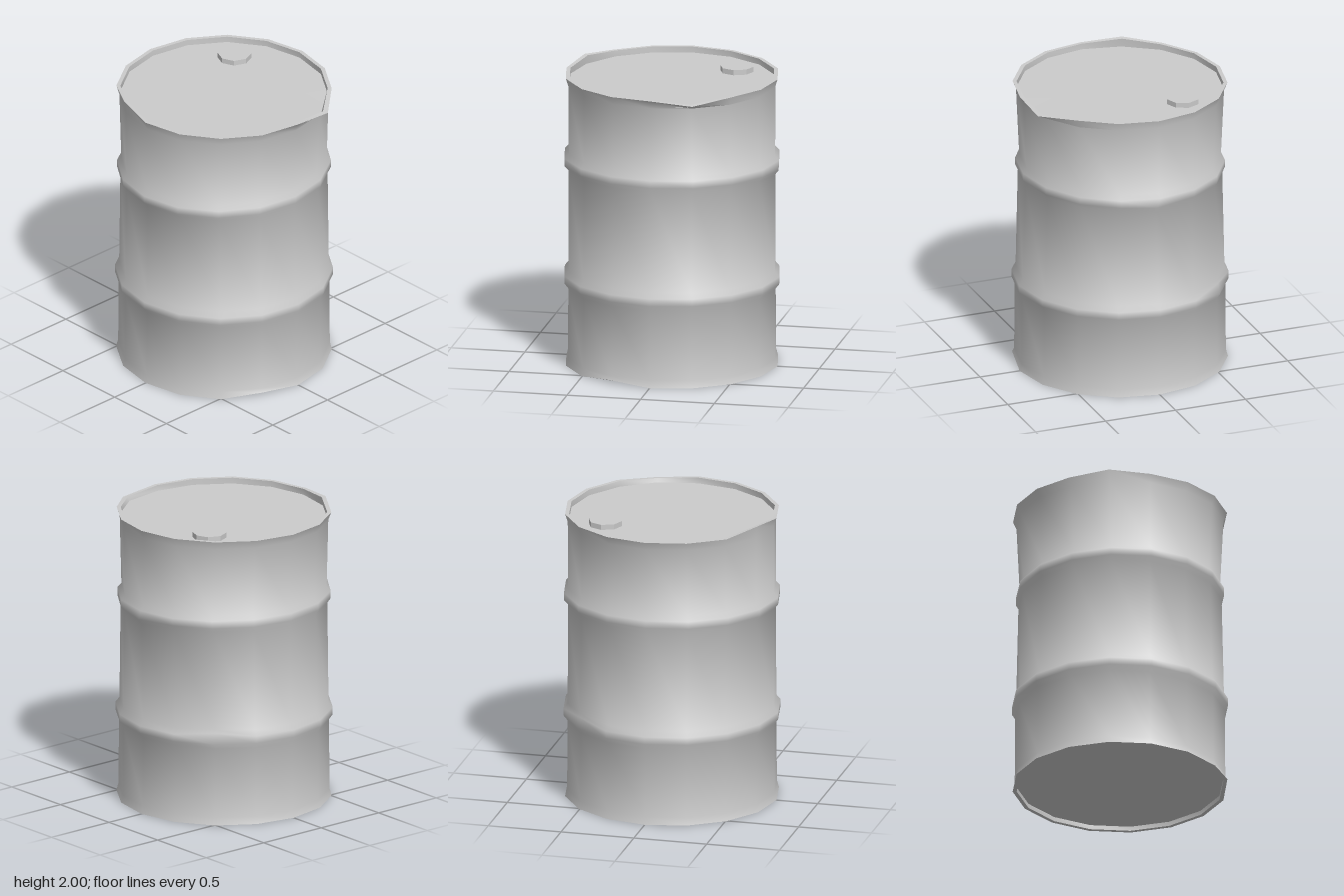
import * as THREE from 'three';
import { toCreasedNormals } from 'three/addons/utils/BufferGeometryUtils.js';

const SIDES = 16;

// Profile rows from the base centre, up the wall, to the lid centre: [radius, height, squash in z]
const PROFILE = [
  [0, 0.03, 1], [0.69, 0.03, 1], [0.69, 0, 1], [0.717, 0, 1], [0.703, 0.05, 1],
  [0.7, 0.53, 1], [0.728, 0.565, 0.99], [0.728, 0.615, 0.99], [0.7, 0.65, 0.99],
  [0.7, 1.34, 0.965], [0.728, 1.37, 0.95], [0.728, 1.42, 0.95], [0.7, 1.45, 0.95],
  [0.7, 1.92, 0.985], [0.717, 1.975, 0.995], [0.69, 1.975, 0.995], [0.69, 1.935, 0.995], [0, 1.935, 1],
];

// Knocks on single corners: [column, row, dx, dy, dz]; columns run from the front towards +x
const DENTS = [
  [1, 14, 0.012, -0.025, 0.042], [1, 15, 0.008, -0.02, 0.035], [1, 16, 0.005, -0.005, 0.02],
  [13, 14, 0, 0, 0], [11, 14, 0.01, 0.025, 0], [11, 15, 0.01, 0.02, 0],
  [15, 3, 0, 0.025, 0], [15, 2, 0, 0.015, 0],
  [4, 9, 0, -0.02, 0.02], [4, 10, 0, -0.015, 0.02],
  [6, 8, 0.005, 0.015, -0.005], [6, 7, -0.01, 0.025, 0.01],
];

function drumShell() {
  const points = PROFILE.map(([r, y]) => new THREE.Vector2(r, y));
  const geometry = new THREE.LatheGeometry(points, SIDES);
  const pos = geometry.attributes.position;
  const rows = PROFILE.length;
  for (let i = 0; i < pos.count; i++) {
    pos.setZ(i, pos.getZ(i) * PROFILE[i % rows][2]);
  }
  for (const [col, row, dx, dy, dz] of DENTS) {
    const i = col * rows + row;
    pos.setXYZ(i, pos.getX(i) + dx, pos.getY(i) + dy, pos.getZ(i) + dz);
  }
  // Smooth wall and hoops, sharp rims
  return toCreasedNormals(geometry, 0.95);
}

export function createModel() {
  const group = new THREE.Group();
  group.name = 'drum';
  const material = new THREE.MeshStandardMaterial({ color: 0xcccccc });

  // Dented shell with two hoops, recessed lid and recessed base
  const shell = new THREE.Mesh(drumShell(), material);
  shell.name = 'shell';
  group.add(shell);

  // Eight-sided filler cap on the lid
  const capGeometry = toCreasedNormals(new THREE.CylinderGeometry(0.113, 0.113, 0.04, 8), 0.5);
  const cap = new THREE.Mesh(capGeometry, material);
  cap.name = 'fillerCap';
  cap.position.set(0.378, 1.95, -0.298);
  group.add(cap);

  return group;
}
